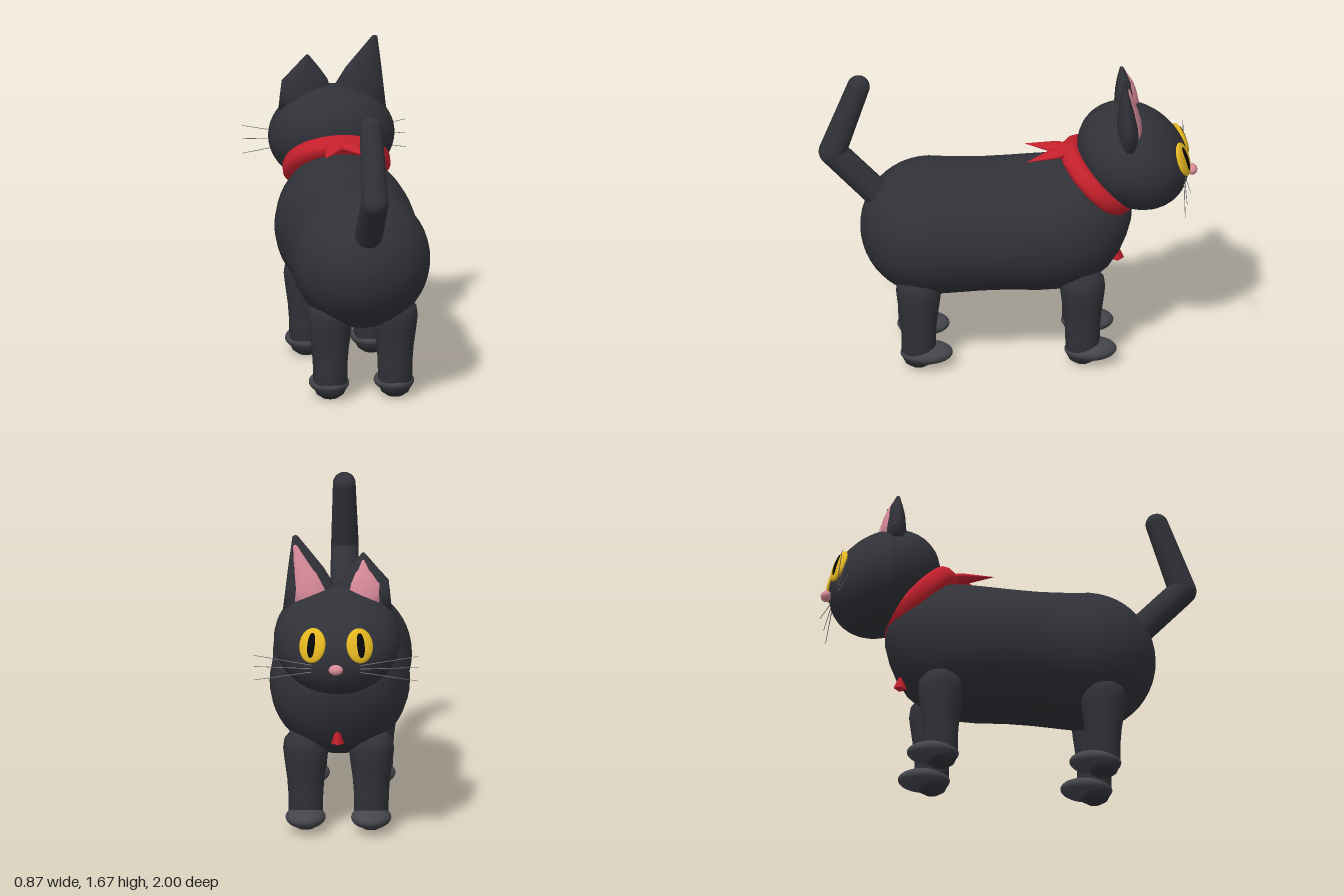
import * as THREE from 'three';

const mat = (color) => new THREE.MeshStandardMaterial({ color });
const FUR = mat(0x313238), PAW = mat(0x45464c), RED = mat(0xc4202c), PINK = mat(0xd88a9a);
const YELLOW = mat(0xe6b820), BLACK = mat(0x060606), WHISKER = mat(0x77777a);
const V = (x, y, z) => new THREE.Vector3(x, y, z);

// Skin over elliptical sections; place(section, cos, sin) gives each corner
function loft(sections, place, n = 40) {
  const pos = [], idx = [];
  sections.forEach((s, i) => {
    for (let j = 0; j < n; j++) {
      const a = (j / n) * Math.PI * 2;
      pos.push(...place(s, Math.cos(a), Math.sin(a)));
      if (i === sections.length - 1) continue;
      const p = i * n + j, q = i * n + ((j + 1) % n);
      idx.push(p, q, q + n, p, q + n, p + n);
    }
  });
  const g = new THREE.BufferGeometry();
  g.setAttribute('position', new THREE.Float32BufferAttribute(pos, 3));
  g.setIndex(idx);
  g.computeVertexNormals();
  return g;
}

// Tapered rod between two points
function rod(a, b, ra, rb, seg = 24) {
  const g = new THREE.CylinderGeometry(rb, ra, a.distanceTo(b), seg);
  g.applyQuaternion(new THREE.Quaternion().setFromUnitVectors(V(0, 1, 0), b.clone().sub(a).normalize()));
  const m = a.clone().add(b).multiplyScalar(0.5);
  return g.translate(m.x, m.y, m.z);
}

const ball = (rx, ry, rz) => new THREE.SphereGeometry(1, 36, 24).scale(rx, ry, rz);

// Head: an ellipsoid whose front is sheared downward
const HEAD = { y: 1.13, z: -0.66, rx: 0.335, ry: 0.275, rz: 0.295, k: 0.2 };
function facePoint(x, y) {
  const { rx, ry, rz, k } = HEAD, u = y - HEAD.y;
  const a = (k / ry) ** 2 + 1 / rz ** 2, b = (-2 * u * k) / ry ** 2;
  const c = (x / rx) ** 2 + (u / ry) ** 2 - 1;
  const z = (-b - Math.sqrt(b * b - 4 * a * c)) / (2 * a), v = u - k * z;
  const normal = V(x / rx ** 2, v / ry ** 2, z / rz ** 2 - (k * v) / ry ** 2).normalize();
  return { point: V(x, y, HEAD.z + z), normal };
}

export function createModel() {
  const cat = new THREE.Group();
  cat.name = 'cat';
  const add = (name, geo, material, parent = cat) => {
    const m = new THREE.Mesh(geo, material);
    m.name = name;
    parent.add(m);
    return m;
  };

  // Body: [z, bottom, top, half width], chest to rump, closed by a round rump
  const body = [
    [-0.655, 0.83, 0.83, 0], [-0.647, 0.76, 0.9, 0.08], [-0.62, 0.675, 0.96, 0.15],
    [-0.58, 0.59, 1.01, 0.21], [-0.52, 0.505, 1.06, 0.265], [-0.45, 0.45, 1.095, 0.305],
    [-0.36, 0.412, 1.115, 0.34], [-0.26, 0.393, 1.118, 0.362], [-0.15, 0.39, 1.112, 0.37],
    [0, 0.397, 1.104, 0.366], [0.15, 0.393, 1.1, 0.36], [0.3, 0.384, 1.104, 0.363],
  ];
  for (let i = 0; i <= 12; i++) {
    const a = (i / 12) * Math.PI / 2, r = 0.367 * Math.cos(a);
    body.push([0.41 + 0.37 * Math.sin(a), 0.745 - r, 0.745 + r, r]);
  }
  add('body', loft(body, ([z, lo, hi, w], c, s) => [c * w, (lo + hi) / 2 + s * (hi - lo) / 2, z], 48), FUR);

  // Head
  const head = ball(HEAD.rx, HEAD.ry, HEAD.rz), p = head.attributes.position;
  for (let i = 0; i < p.count; i++) p.setY(i, p.getY(i) + HEAD.k * p.getZ(i));
  head.computeVertexNormals();
  add('head', head.translate(0, HEAD.y, HEAD.z), FUR);

  // Ears: [y, x low, x high, half depth, z]; the right one has a clipped tip
  const ears = {
    leftEar: [[1.28, 0.14, 0.14, 0, -0.63], [1.28, 0, 0.287, 0.065, -0.63], [1.4, 0.01, 0.273, 0.058, -0.627],
      [1.5, 0.07, 0.261, 0.043, -0.62], [1.67, 0.208, 0.238, 0.009, -0.606], [1.677, 0.222, 0.222, 0, -0.605]],
    rightEar: [[1.28, -0.14, -0.14, 0, -0.63], [1.28, -0.287, 0, 0.065, -0.63], [1.37, -0.278, -0.005, 0.06, -0.627],
      [1.44, -0.27, -0.025, 0.05, -0.623], [1.5, -0.215, -0.065, 0.038, -0.618],
      [1.58, -0.145, -0.127, 0.009, -0.606], [1.585, -0.136, -0.136, 0, -0.605]],
  };
  const earRing = ([y, lo, hi, d, z], c, s) => [(lo + hi) / 2 + c * (hi - lo) / 2, y, z - s * d];
  for (const [name, rings] of Object.entries(ears)) {
    add(name, loft(rings, earRing), FUR);
    const inner = rings.map(([y, lo, hi, d, z]) => {
      const m = (lo + hi) / 2, h = (hi - lo) * 0.35;
      return [1.3 + (y - 1.28) * 0.83, m - h, m + h, d * 0.85, z - 0.02];
    });
    add(name + 'Inner', loft(inner, earRing), PINK);
  }

  // Eyes, nose and whiskers
  for (const s of [1, -1]) {
    const side = s > 0 ? 'left' : 'right';
    const { point, normal } = facePoint(s * 0.125, 1.16);
    const eye = new THREE.Group();
    eye.name = side + 'Eye';
    eye.position.copy(point);
    eye.lookAt(point.clone().add(normal));
    add('iris', ball(0.073, 0.093, 0.022), YELLOW, eye);
    add('pupil', ball(0.024, 0.066, 0.01).translate(0, 0, 0.016), BLACK, eye);
    cat.add(eye);
    [[1.055, 1.112, -0.945], [1.035, 1.045, -0.925], [1.015, 0.968, -0.915]].forEach(([y0, y1, z1]) => {
      const root = facePoint(s * 0.13, y0).point;
      add(side + 'Whisker', rod(root, V(s * 0.435, y1, z1), 0.0025, 0.0015, 6), WHISKER);
    });
  }
  add('nose', ball(0.038, 0.028, 0.028).translate(0, 1.04, -0.972), PINK);

  // Scarf: slanted band, knot and two tails behind the neck, tip on the chest
  const scarf = new THREE.Group();
  scarf.name = 'scarf';
  cat.add(scarf);
  const profile = [[0, -0.055], [0.8, -0.055], [0.96, -0.045], [1.02, -0.02], [1.02, 0.02], [0.97, 0.045], [0.85, 0.055], [0, 0.055]]
    .map(([r, y]) => new THREE.Vector2(r, y));
  const band = add('band', new THREE.LatheGeometry(profile, 48).scale(0.28, 1, 0.24), RED, scarf);
  band.position.set(0, 1.015, -0.47);
  band.rotation.x = -Math.PI / 4;
  add('knot', ball(0.075, 0.035, 0.06).translate(0, 1.165, -0.3), RED, scarf);
  for (const s of [1, -1]) {
    const tail = new THREE.SphereGeometry(1, 20, 16).scale(0.05, 0.022, 0.07).translate(0, 0, 0.05);
    const tip = new THREE.ConeGeometry(0.05, 0.17, 20).rotateX(Math.PI / 2).scale(1, 0.45, 1).translate(0, 0, 0.145);
    for (const g of [tail, tip]) {
      const part = add('tail', g, RED, scarf);
      part.position.set(s * 0.02, 1.172, -0.3);
      part.rotation.set(0.08, s * 0.42, 0);
    }
    const fold = add('fold', ball(0.075, 0.025, 0.035), RED, scarf);
    fold.position.set(s * 0.075, 1.15, -0.32);
    fold.rotation.z = -s * 0.3;
  }
  add('chestTip', new THREE.ConeGeometry(0.035, 0.11, 4).rotateX(0.1).translate(0, 0.58, -0.572), RED, scarf);

  // Legs and paws
  const legProfile = [[0, 0.005], [0.04, 0.01], [0.072, 0.032], [0.09, 0.07], [0.092, 0.2], [0.098, 0.28],
    [0.113, 0.39], [0.12, 0.45], [0.113, 0.5], [0.08, 0.54], [0, 0.56]].map(([r, y]) => new THREE.Vector2(r, y));
  for (const [name, z] of [['frontLeg', -0.385], ['hindLeg', 0.48]]) {
    for (const s of [1, -1]) {
      const leg = new THREE.Group();
      leg.name = (s > 0 ? 'left ' : 'right ') + name;
      leg.position.set(s * 0.173, 0, z);
      add('leg', new THREE.LatheGeometry(legProfile, 32), FUR, leg);
      add('paw', ball(0.106, 0.054, 0.138).translate(0, 0.083, -0.042), PAW, leg);
      cat.add(leg);
    }
  }

  // Bent tail
  const joints = [[V(0, 0.95, 0.7), 0.074], [V(0, 1.19, 0.927), 0.073], [V(0, 1.567, 0.79), 0.06]];
  joints.forEach(([c, r], i) => {
    add('tailJoint', ball(r, r, r).translate(c.x, c.y, c.z), FUR);
    if (i) add('tailSegment', rod(joints[i - 1][0], c, joints[i - 1][1], r), FUR);
  });
  return cat;
}
